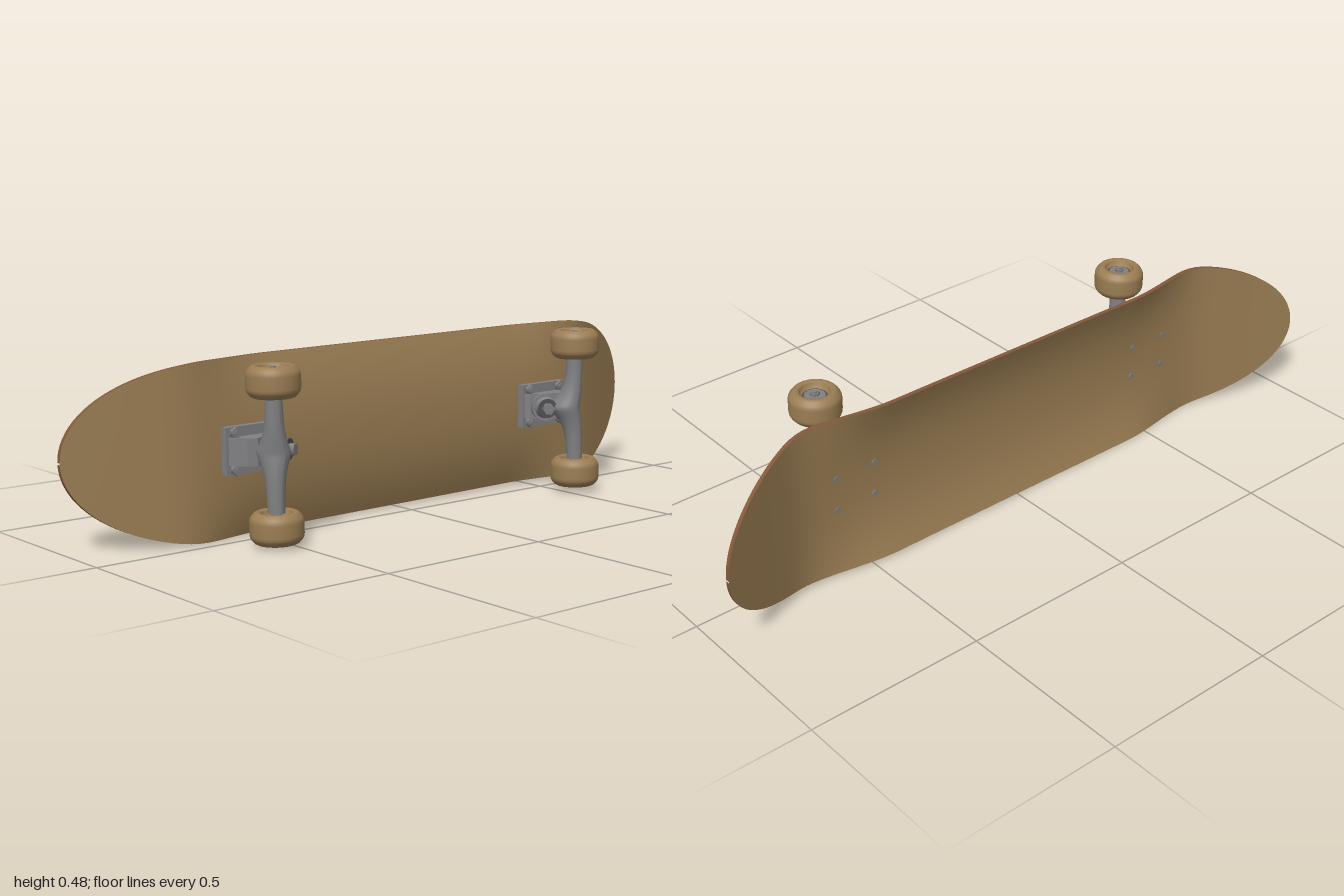
import * as THREE from 'three';

const HALF_W = 0.234, THICK = 0.012, AXLE_X = 0.54, AXLE_Z = 0.1;

const mat = (name, color) => Object.assign(new THREE.MeshStandardMaterial({ color }), { name });

function add(parent, name, geometry, material, x = 0, y = 0, z = 0) {
  const mesh = new THREE.Mesh(geometry, material);
  mesh.name = name;
  mesh.position.set(x, y, z);
  parent.add(mesh);
  return mesh;
}

// Move every vertex of a geometry by a rule
function reshape(geometry, rule) {
  const p = geometry.attributes.position;
  for (let i = 0; i < p.count; i++) p.setXYZ(i, ...rule(p.getX(i), p.getY(i), p.getZ(i)));
  geometry.computeVertexNormals();
  return geometry;
}

// Deck surface: s runs tail to nose, v runs rail to rail, both -1 to 1
function deckPoint(s, v, depth) {
  const a = Math.max(0, Math.abs(s) - 0.5) * Math.PI;
  const ax = Math.abs(s) < 0.5 ? 1.26 * Math.abs(s) : 0.63 + 0.37 * Math.sin(a);
  const y = v * HALF_W * Math.max(Math.cos(a), 0.01);
  const t = ax - 0.7;
  const kick = 0.225 * (Math.hypot(t, 0.06) + t);
  const fade = 1 - THREE.MathUtils.smoothstep(ax, 0.42, 0.74);
  const concave = 0.042 * fade * Math.pow(Math.abs(y) / HALF_W, 2.2);
  return [Math.sign(s) * ax, y, -0.03 - kick - concave - depth];
}

function buildDeck(wood, edge) {
  const deck = new THREE.Group();
  deck.name = 'deck';
  const face = () => new THREE.PlaneGeometry(2, 2, 96, 24);
  const strip = () => new THREE.PlaneGeometry(2, 2, 96, 1);
  add(deck, 'deckUnderside', reshape(face(), (s, v) => deckPoint(s, v, 0)), wood);
  add(deck, 'deckTop', reshape(face(), (s, v) => deckPoint(-s, v, THICK)), wood);
  for (const side of [1, -1]) {
    add(deck, 'deckEdge', reshape(strip(), (s, v) => deckPoint(s, side, v * side > 0 ? THICK : 0)), edge);
  }
  return deck;
}

function buildWheel(tan, metal, dark) {
  const wheel = new THREE.Group();
  wheel.name = 'wheel';
  const half = [[0.012, 0.02], [0.036, 0.022], [0.039, 0.036], [0.043, 0.04], [0.052, 0.041],
    [0.058, 0.038], [0.066, 0.029], [0.069, 0.023], [0.07, 0.016]];
  const profile = [...half.map(([r, y]) => [r, -y]), ...half.slice().reverse()];
  add(wheel, 'tyre', new THREE.LatheGeometry(profile.map(([r, y]) => new THREE.Vector2(r, y)), 40), tan);
  add(wheel, 'bearingSeal', new THREE.CylinderGeometry(0.034, 0.034, 0.047, 28), dark);
  add(wheel, 'bearing', new THREE.CylinderGeometry(0.028, 0.028, 0.052, 28), metal);
  add(wheel, 'axleNut', new THREE.CylinderGeometry(0.013, 0.013, 0.068, 6), metal);
  return wheel;
}

// Truck with its kingpin leaning towards +x
function buildTruck(tan, metal, dark) {
  const truck = new THREE.Group();
  truck.name = 'truck';

  // Base plate and the wedge that rises from it
  add(truck, 'basePlate', new THREE.BoxGeometry(0.17, 0.125, 0.022), metal, 0.015, 0, -0.023);
  const outline = [[-0.065, -0.015], [0.095, -0.015], [0.085, 0], [0.05, 0.02], [-0.01, 0.042], [-0.035, 0.03]];
  const wedge = new THREE.ExtrudeGeometry(
    new THREE.Shape(outline.map(([x, z]) => new THREE.Vector2(x, z))), { depth: 0.072, bevelEnabled: false });
  wedge.translate(0, 0, -0.036).rotateX(Math.PI / 2);
  add(truck, 'baseWedge', wedge, metal);

  // Mounting bolts through the deck, with nuts on the plate
  for (const x of [-0.045, 0.075]) for (const y of [-0.048, 0.048]) {
    const bolt = add(truck, 'mountingBolt', new THREE.CylinderGeometry(0.009, 0.009, 0.053, 12), metal, x, y, -0.0215);
    const nut = add(truck, 'mountingNut', new THREE.CylinderGeometry(0.015, 0.015, 0.014, 6), metal, x, y, -0.006);
    bolt.rotation.x = nut.rotation.x = Math.PI / 2;
  }

  // Hanger: a tube that swells towards the deck in the middle
  const hanger = reshape(new THREE.CylinderGeometry(1, 1, 0.3, 24, 40, true), (x, y, z) => {
    const swell = Math.exp(-Math.pow(Math.abs(y) / 0.045, 1.3));
    const back = 0.076 - 0.054 * swell, front = 0.123;
    return [0.016 * swell + x * (0.022 + 0.02 * swell), y, (front + back) / 2 + z * (front - back) / 2];
  });
  add(truck, 'hanger', hanger, metal);

  // Leaning kingpin with its bushings
  const kingpin = new THREE.Group();
  kingpin.name = 'kingpin';
  kingpin.position.set(0.04, 0, 0.005);
  kingpin.rotation.z = -Math.PI / 2;
  kingpin.rotation.y = -Math.PI / 3;
  kingpin.rotation.order = 'YZX';
  add(kingpin, 'lowerBushing', new THREE.CylinderGeometry(0.034, 0.03, 0.026, 24), metal, 0, 0.015);
  add(kingpin, 'kingpinRing', new THREE.CylinderGeometry(0.04, 0.04, 0.016, 24), metal, 0, 0.036);
  add(kingpin, 'upperBushing', new THREE.CylinderGeometry(0.026, 0.032, 0.02, 24), metal, 0, 0.054);
  add(kingpin, 'kingpinWasher', new THREE.CylinderGeometry(0.028, 0.028, 0.004, 24), dark, 0, 0.066);
  add(kingpin, 'kingpinNut', new THREE.CylinderGeometry(0.017, 0.017, 0.016, 6), metal, 0, 0.076);
  truck.add(kingpin);

  // Axle and wheels
  add(truck, 'axle', new THREE.CylinderGeometry(0.008, 0.008, 0.45, 14), metal, 0, 0, AXLE_Z);
  for (const side of [-1, 1]) {
    const wheel = buildWheel(tan, metal, dark);
    wheel.position.set(0, side * 0.187, AXLE_Z);
    truck.add(wheel);
  }
  return truck;
}

export function createModel() {
  const tan = mat('tan', 0x9a7d53);
  const edge = mat('edgeBrown', 0x85583a);
  const metal = mat('metalGrey', 0x808082);
  const dark = mat('darkGrey', 0x505052);

  const board = new THREE.Group();
  board.name = 'skateboard';
  board.add(buildDeck(tan, edge));
  for (const side of [-1, 1]) {
    const truck = buildTruck(tan, metal, dark);
    truck.position.x = side * AXLE_X;
    if (side > 0) truck.rotation.z = Math.PI;
    board.add(truck);
  }

  // The board stands on its long edge, slightly askew
  board.position.y = 0.24;
  board.rotation.set(-0.011, 0.005, 0.0075);
  const model = new THREE.Group();
  model.name = 'model';
  model.add(board);
  return model;
}
